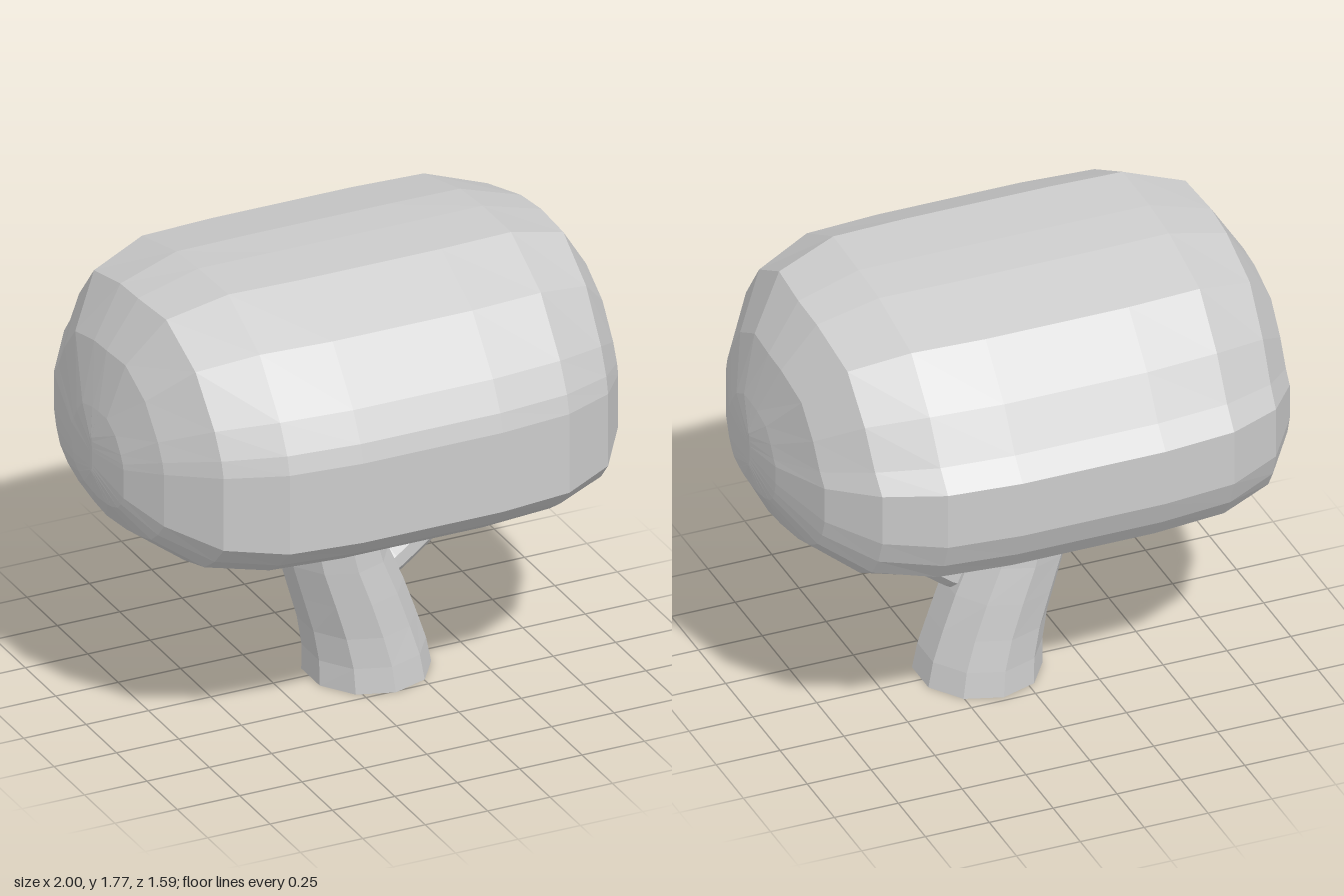
import * as THREE from 'three';

const material = new THREE.MeshStandardMaterial({ color: 0xcccccc, flatShading: true, side: THREE.DoubleSide });

// Skin a row of equal-sized closed rings, with optional end caps
function loft(name, rings, capped) {
  const n = rings[0].length, last = (rings.length - 1) * n, index = [];
  for (let i = 0; i < rings.length - 1; i++) {
    for (let j = 0; j < n; j++) {
      const k = (j + 1) % n;
      const a = i * n + j, b = a + n, c = i * n + k, d = c + n;
      index.push(a, b, c, b, d, c);
    }
  }
  if (capped) {
    for (let j = 1; j < n - 1; j++) {
      index.push(0, j, j + 1, last, last + j + 1, last + j);
    }
  }
  const geometry = new THREE.BufferGeometry();
  geometry.setAttribute('position', new THREE.Float32BufferAttribute(rings.flat(2), 3));
  geometry.setIndex(index);
  geometry.computeVertexNormals();
  const mesh = new THREE.Mesh(geometry, material);
  mesh.name = name;
  return mesh;
}

// Foliage: one dome-shaped side profile, shrunk towards both ends
function createCanopy() {
  const profile = [ // z, y
    [0.29, 1.77], [0.04, 1.765], [-0.15, 1.75], [-0.45, 1.68], [-0.62, 1.5], [-0.72, 1.34], [-0.79, 1.26],
    [-0.79, 1.04], [-0.75, 0.94], [-0.69, 0.86], [-0.57, 0.8], [-0.4, 0.76], [-0.15, 0.735], [0.04, 0.725],
    [0.3, 0.74], [0.45, 0.76], [0.63, 0.8], [0.72, 0.86], [0.8, 0.94], [0.8, 1.1], [0.8, 1.26],
    [0.78, 1.33], [0.72, 1.44], [0.55, 1.64],
  ];
  const half = [ // x at the sides, x at the middle, z centre, z scale, top, bottom
    [0.28, 0.28, 0, 1, 1.77, 0.725],
    [0.56, 0.57, 0, 0.965, 1.77, 0.73],
    [0.77, 0.81, 0, 0.825, 1.7, 0.755],
    [0.91, 0.93, 0, 0.57, 1.51, 0.84],
    [0.98, 0.98, 0.05, 0.27, 1.29, 0.94],
    [1, 1, 0.04, 0.01, 1.18, 1.04],
  ];
  const section = (side, [xSide, xMid, zc, zs, top, bottom]) => profile.map(([z, y]) => [
    side * THREE.MathUtils.lerp(xMid, xSide, Math.abs(z) / 0.8),
    y > 1.1 ? 1.1 + (y - 1.1) * (top - 1.1) / 0.67 : 1.1 - (1.1 - y) * (1.1 - bottom) / 0.375,
    zc + z * zs,
  ]);
  const rings = [
    ...half.slice().reverse().map((s) => section(-1, s)),
    ...half.map((s) => section(1, s)),
  ];
  return loft('canopy', rings, true);
}

// Trunk: leaning stack of ten-sided rings, open at the base
function createTrunk() {
  const levels = [ // y, x centre, x radius, z radius
    [0, 0.115, 0.235, 0.245], [0.1, 0.105, 0.225, 0.235], [0.22, 0.075, 0.215, 0.225], [0.36, 0.03, 0.21, 0.222],
    [0.5, -0.02, 0.2, 0.218], [0.73, -0.075, 0.19, 0.215], [0.95, -0.1, 0.185, 0.21],
  ];
  const sides = 10;
  return loft('trunk', levels.map(([y, x, rx, rz]) => Array.from({ length: sides }, (_, j) => {
    const a = (j + 0.5) / sides * Math.PI * 2;
    return [x + rx * Math.cos(a), y, 0.015 + rz * Math.sin(a)];
  })), false);
}

// Branch: thin tube curving up from the trunk into the foliage
function createBranch(name, points, radius) {
  const curve = new THREE.CatmullRomCurve3(points.map(([x, y]) => new THREE.Vector3(x, y, 0.02)));
  const rings = [], steps = 5, sides = 8;
  for (let i = 0; i <= steps; i++) {
    const p = curve.getPoint(i / steps), t = curve.getTangent(i / steps);
    rings.push(Array.from({ length: sides }, (_, j) => {
      const a = (j + 0.5) / sides * Math.PI * 2, c = radius * Math.cos(a);
      return [p.x + t.y * c, p.y - t.x * c, p.z + radius * Math.sin(a)];
    }));
  }
  return loft(name, rings, true);
}

export function createModel() {
  const tree = new THREE.Group();
  tree.name = 'tree';
  tree.add(
    createCanopy(),
    createTrunk(),
    createBranch('leftBranch', [[0.14, 0.38], [0.24, 0.44], [0.37, 0.55], [0.51, 0.73], [0.58, 0.9]], 0.062),
    createBranch('rightBranch', [[-0.1, 0.53], [-0.22, 0.55], [-0.35, 0.61], [-0.48, 0.73], [-0.56, 0.9]], 0.06),
  );
  return tree;
}
